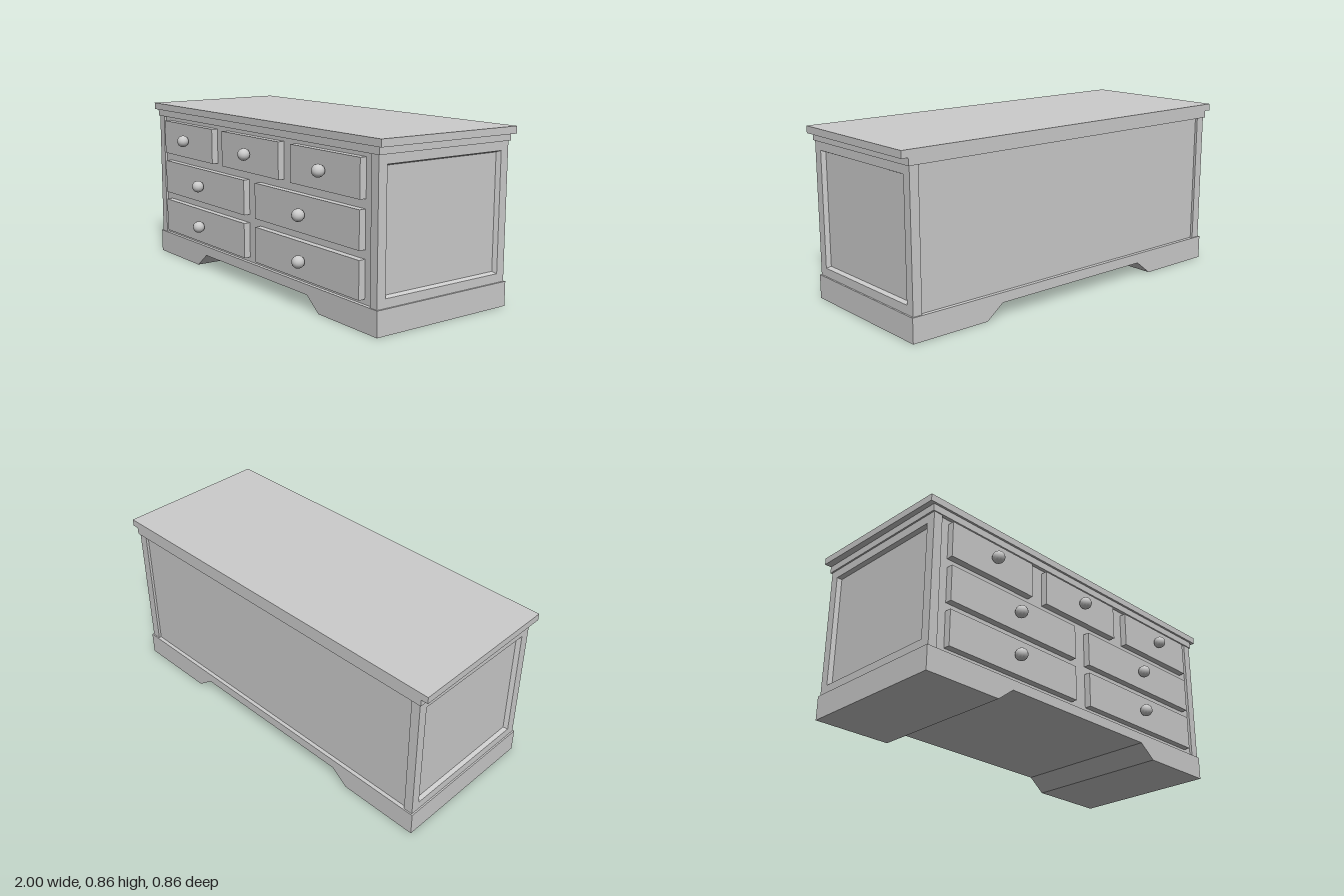
import * as THREE from 'three';

const material = new THREE.MeshStandardMaterial({ color: 0xcccccc });

function add(parent, name, geometry) {
  const mesh = new THREE.Mesh(geometry, material);
  mesh.name = name;
  parent.add(mesh);
  return mesh;
}

// Box given by its limits on each axis
function block(parent, name, [x0, x1], [y0, y1], [z0, z1]) {
  const geometry = new THREE.BoxGeometry(x1 - x0, y1 - y0, z1 - z0);
  geometry.translate((x0 + x1) / 2, (y0 + y1) / 2, (z0 + z1) / 2);
  return add(parent, name, geometry);
}

const shapeOf = (points) => new THREE.Shape(points.map(([x, y]) => new THREE.Vector2(x, y)));

// End wall with a bevelled sunken panel, lofted through rectangles [x, y0, y1, z0, z1]
function endWallGeometry(side) {
  const loops = [
    [0.91, 0.11, 0.79, -0.423, 0.349],
    [0.957, 0.11, 0.79, -0.423, 0.349],
    [0.957, 0.163, 0.742, -0.378, 0.302],
    [0.937, 0.172, 0.734, -0.366, 0.289],
  ].map(([x, y0, y1, z0, z1]) => [
    [side * x, y0, z1], [side * x, y0, z0], [side * x, y1, z0], [side * x, y1, z1],
  ]);
  const positions = [];
  const quad = (a, b, c, d) => {
    const corners = side > 0 ? [a, b, c, a, c, d] : [a, c, b, a, d, c];
    corners.forEach((p) => positions.push(...p));
  };
  for (let i = 0; i < loops.length - 1; i++) {
    for (let j = 0; j < 4; j++) {
      const k = (j + 1) % 4;
      quad(loops[i][j], loops[i][k], loops[i + 1][k], loops[i + 1][j]);
    }
  }
  quad(...loops[3]);
  quad(...[...loops[0]].reverse());
  const geometry = new THREE.BufferGeometry();
  geometry.setAttribute('position', new THREE.Float32BufferAttribute(positions, 3));
  geometry.computeVertexNormals();
  return geometry;
}

export function createModel() {
  const model = new THREE.Group();
  model.name = 'chestOfDrawers';

  // Plinth with a cut-out running through its full depth
  const plinth = new THREE.ExtrudeGeometry(shapeOf([
    [-0.965, 0], [-0.55, 0], [-0.46, 0.07], [0.46, 0.07],
    [0.55, 0], [0.965, 0], [0.965, 0.12], [-0.965, 0.12],
  ]), { depth: 0.784, bevelEnabled: false });
  plinth.translate(0, 0, -0.43);
  add(model, 'plinth', plinth);

  // Carcass, set slightly back between the end walls
  block(model, 'carcass', [-0.912, 0.912], [0.11, 0.79], [-0.41, 0.336]);
  add(model, 'leftEndWall', endWallGeometry(1));
  add(model, 'rightEndWall', endWallGeometry(-1));

  // Moulding and slightly tapered top board
  block(model, 'moulding', [-0.965, 0.965], [0.785, 0.822], [-0.43, 0.354]);
  const top = new THREE.ExtrudeGeometry(shapeOf([
    [-0.99, -0.365], [0.99, -0.365], [1, 0.43], [-1, 0.43],
  ]), { depth: 0.035, bevelEnabled: false });
  top.rotateX(-Math.PI / 2).translate(0, 0.82, 0);
  add(model, 'topBoard', top);

  // Drawers, each with a round knob
  const knob = new THREE.SphereGeometry(0.031, 16, 8).rotateX(Math.PI / 2);
  const rows = [
    { y: [0.585, 0.765], knobY: 0.678, centres: [-0.607, 0, 0.607], half: 0.255 },
    { y: [0.363, 0.541], knobY: 0.453, centres: [-0.455, 0.455], half: 0.405 },
    { y: [0.143, 0.321], knobY: 0.234, centres: [-0.455, 0.455], half: 0.405 },
  ];
  rows.forEach(({ y, knobY, centres, half }) => centres.forEach((x) => {
    const drawer = new THREE.Group();
    drawer.name = 'drawer';
    block(drawer, 'drawerFront', [x - half, x + half], y, [0.32, 0.37]);
    add(drawer, 'knob', knob).position.set(x, knobY, 0.4);
    model.add(drawer);
  }));

  return model;
}
